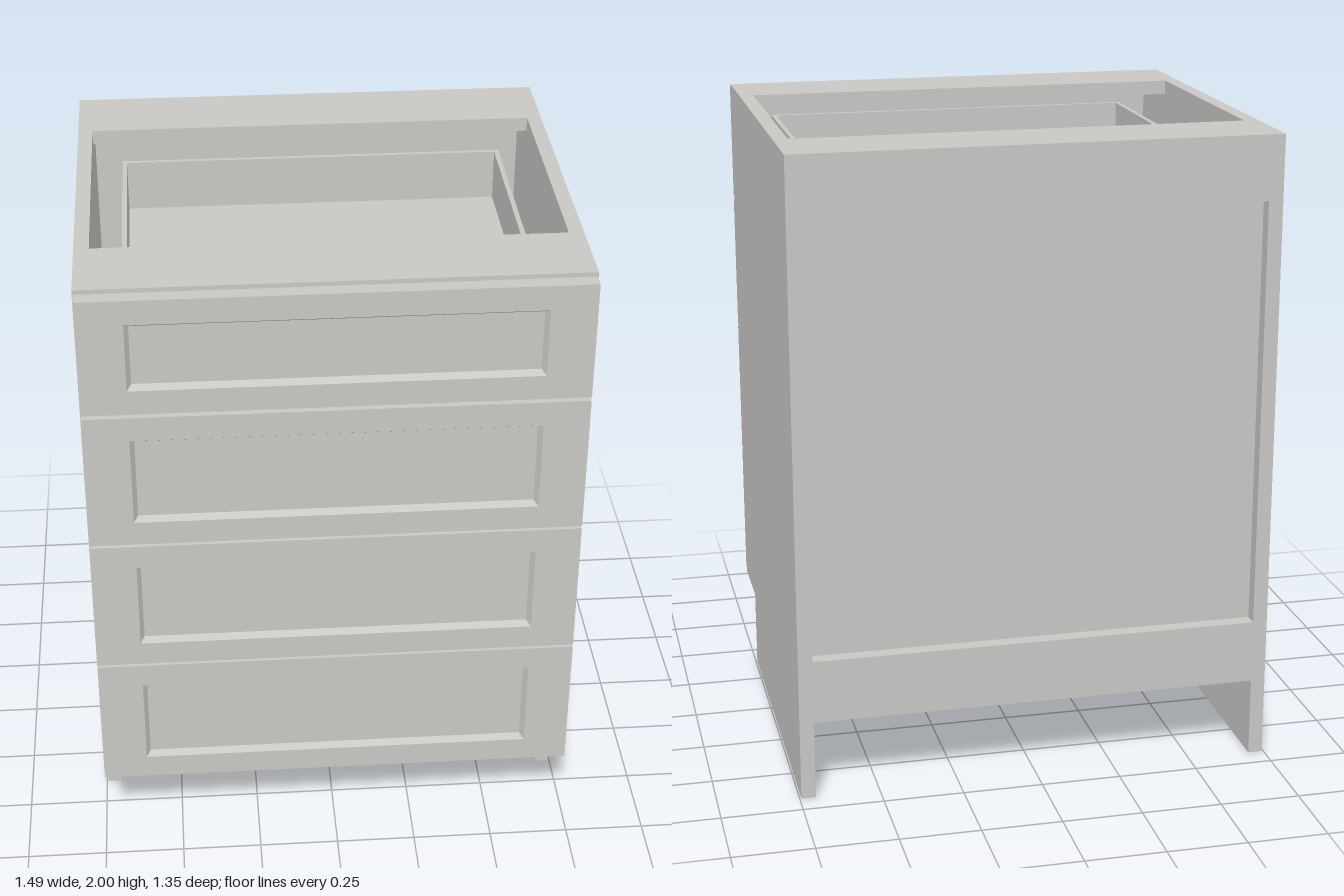
import * as THREE from 'three';

const W = 0.745;       // half width
const D = 0.677;       // half depth
const BODY = 0.63;     // front plane of the carcass
const T = 0.045;       // panel thickness

const paint = new THREE.MeshStandardMaterial({ color: 0xc8c7c4 });
paint.name = 'warm grey paint';

// Box given by its minimum and maximum corners
function panel(parent, name, [x0, y0, z0], [x1, y1, z1]) {
  const mesh = new THREE.Mesh(new THREE.BoxGeometry(x1 - x0, y1 - y0, z1 - z0), paint);
  mesh.position.set((x0 + x1) / 2, (y0 + y1) / 2, (z0 + z1) / 2);
  mesh.name = name;
  parent.add(mesh);
}

// Slab with a bevelled recess, skinned through rectangular rings from back to front
function recessedFront(halfW, halfH, thickness) {
  const margin = 0.078, side = 0.137, bevel = 0.013, recess = 0.02;
  const rings = [
    [halfW, halfH, 0],
    [halfW, halfH, thickness],
    [halfW - side, halfH - margin, thickness],
    [halfW - side - bevel, halfH - margin - bevel, thickness - recess],
  ].map(([w, h, z]) => [[-w, -h, z], [w, -h, z], [w, h, z], [-w, h, z]]);
  const pos = [];
  const quad = (a, b, c, d) => pos.push(...a, ...b, ...c, ...a, ...c, ...d);
  for (let r = 0; r < rings.length - 1; r++) {
    for (let i = 0; i < 4; i++) {
      const j = (i + 1) % 4;
      quad(rings[r][i], rings[r][j], rings[r + 1][j], rings[r + 1][i]);
    }
  }
  quad(...rings[rings.length - 1]);
  quad(...[...rings[0]].reverse());
  const geo = new THREE.BufferGeometry();
  geo.setAttribute('position', new THREE.Float32BufferAttribute(pos, 3));
  geo.computeVertexNormals();
  return geo;
}

// Front plus an open-topped box behind it
function drawer(bottom, top) {
  const g = new THREE.Group();
  g.name = 'drawer';
  const front = new THREE.Mesh(recessedFront(0.742, (top - bottom) / 2, D - BODY), paint);
  front.position.set(0, (top + bottom) / 2, BODY);
  front.name = 'drawerFront';
  g.add(front);

  const y0 = bottom + 0.085, y1 = top - 0.095, out = 0.61, inn = 0.595, back = -0.432;
  panel(g, 'drawerSideLeft', [inn, y0, back], [out, y1, BODY]);
  panel(g, 'drawerSideRight', [-out, y0, back], [-inn, y1, BODY]);
  panel(g, 'drawerBack', [-inn, y0, back], [inn, y1, back + 0.015]);
  panel(g, 'drawerInnerFront', [-inn, y0, BODY - 0.015], [inn, y1, BODY]);
  panel(g, 'drawerBottom', [-inn, y0 + 0.015, back + 0.015], [inn, y0 + 0.03, BODY - 0.015]);
  return g;
}

export function createModel() {
  const model = new THREE.Group();
  model.name = 'drawerCabinet';

  // Side panels with the toe notch cut out of the lower front corner
  const profile = new THREE.Shape([
    [-D, 0], [0.4, 0], [0.4, 0.25], [BODY, 0.25], [BODY, 2], [-D, 2],
  ].map(([z, y]) => new THREE.Vector2(-z, y)));
  const sideGeo = new THREE.ExtrudeGeometry(profile, { depth: T, bevelEnabled: false });
  sideGeo.rotateY(Math.PI / 2);
  for (const [name, x] of [['sidePanelLeft', W - T], ['sidePanelRight', -W]]) {
    const side = new THREE.Mesh(sideGeo, paint);
    side.position.x = x;
    side.name = name;
    model.add(side);
  }

  // Floor, top stretchers, back rails and inset back panel
  const w = W - T;
  panel(model, 'floor', [-w, 0.25, -D], [w, 0.295, BODY]);
  panel(model, 'topStretcherFront', [-w, 1.955, 0.38], [w, 2, BODY]);
  panel(model, 'topStretcherBack', [-w, 1.955, -D], [w, 2, -0.432]);
  panel(model, 'backRailTop', [-w, 1.8, -D], [w, 1.955, -D + T]);
  panel(model, 'backRailBottom', [-w, 0.295, -D], [w, 0.45, -D + T]);
  panel(model, 'backPanel', [-w, 0.295, -D + T], [w, 1.955, -D + T + 0.015]);

  // Four drawers, the top one shallower
  for (const [bottom, top] of [[0.255, 0.7], [0.709, 1.15], [1.159, 1.602], [1.614, 1.986]]) {
    model.add(drawer(bottom, top));
  }
  return model;
}
